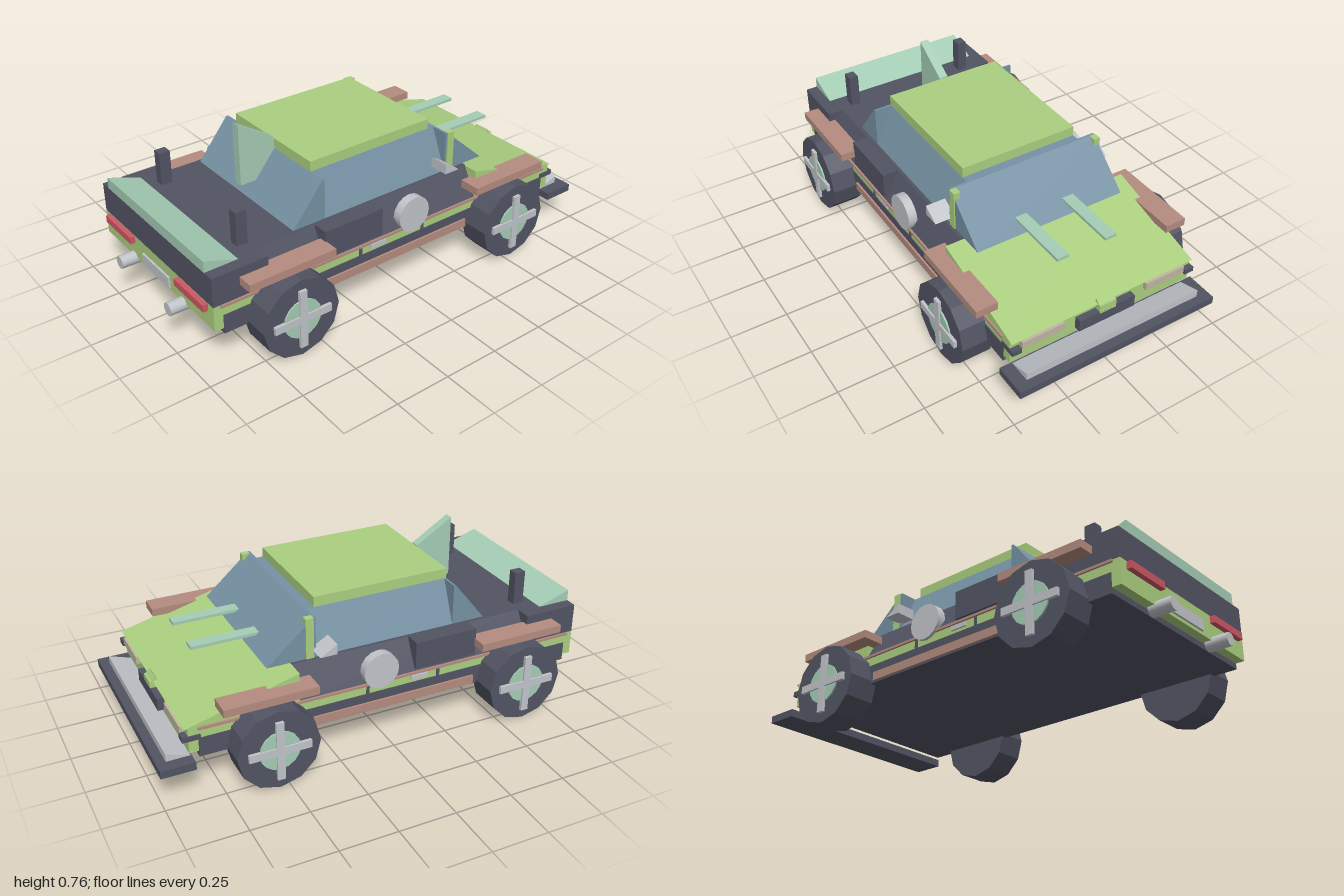
import * as THREE from 'three';

const mat = (name, color) => {
  const m = new THREE.MeshStandardMaterial({ color });
  m.name = name;
  return m;
};

export function createModel() {
  const car = new THREE.Group();
  car.name = 'car';
  const green = mat('green paint', 0xabd080);
  const dark = mat('dark grey', 0x525463);
  const copper = mat('copper', 0xb58c7f);
  const glass = mat('blue glass', 0x7692a4);
  const mint = mat('mint', 0xa5cdb5);
  const grey = mat('light grey', 0xc1c4c9);
  const red = mat('red', 0xcc5964);
  const lamp = mat('lamp beige', 0xc2b5a2);

  const add = (name, geo, material) => {
    const mesh = new THREE.Mesh(geo, material);
    mesh.name = name;
    car.add(mesh);
    return mesh;
  };
  // Box from its limits on each axis
  const box = (name, m, x0, x1, y0, y1, z0, z1) =>
    add(name, new THREE.BoxGeometry(x1 - x0, y1 - y0, z1 - z0)
      .translate((x0 + x1) / 2, (y0 + y1) / 2, (z0 + z1) / 2), m);
  // The same box on both sides of the car
  const pair = (name, m, x0, x1, ...rest) => {
    box(name + 'Left', m, x0, x1, ...rest);
    box(name + 'Right', m, -x1, -x0, ...rest);
  };
  const extrude = (pts, depth) => new THREE.ExtrudeGeometry(
    new THREE.Shape(pts.map(p => new THREE.Vector2(...p))), { depth, bevelEnabled: false });
  // Side profile of [z, y] points, extruded across x
  const sideProfile = (name, m, pts, x0, x1) =>
    add(name, extrude(pts.map(([z, y]) => [-z, y]), x1 - x0).rotateY(Math.PI / 2).translate(x0, 0, 0), m);
  // Cross-section of [x, y] points, extruded along z
  const crossSection = (name, m, pts, z0, z1) =>
    add(name, extrude(pts, z1 - z0).translate(0, 0, z0), m);

  // Lower body
  box('chassis', dark, -0.443, 0.443, 0.165, 0.25, -0.83, 0.89);
  box('body', green, -0.44, 0.44, 0.19, 0.3, -0.87, 0.93);
  sideProfile('hood', green, [[-0.4, 0.3], [-0.4, 0.425], [-0.885, 0.3]], -0.44, 0.44);
  crossSection('shoulders', dark, [[-0.44, 0.3], [0.44, 0.3], [0.37, 0.43], [-0.37, 0.43]], -0.4, 0.68);
  box('rearDeck', dark, -0.44, 0.44, 0.3, 0.43, 0.68, 0.93);

  // Cabin
  crossSection('sideWindows', glass, [[-0.355, 0.43], [0.355, 0.43], [0.275, 0.61], [-0.275, 0.61]], -0.3, 0.36);
  sideProfile('rearWindow', glass, [[0.35, 0.43], [0.35, 0.61], [0.36, 0.61], [0.505, 0.43]], -0.355, 0.355);
  sideProfile('windshield', glass, [[-0.29, 0.43], [-0.29, 0.61], [-0.3, 0.61], [-0.505, 0.43]], -0.355, 0.355);
  box('roof', green, -0.273, 0.273, 0.61, 0.655, -0.26, 0.36);
  pair('windowPillar', green, 0.33, 0.36, 0.43, 0.61, -0.335, -0.3);
  for (const s of [-1, 1]) {
    const x0 = s > 0 ? 0.34 : -0.43;
    sideProfile('mirror', grey, [[-0.23, 0.51], [-0.23, 0.465], [-0.305, 0.465]], x0, x0 + 0.09);
  }

  // Fins, posts and spoiler
  sideProfile('roofFin', mint,
    [[0.53, 0.765], [0.36, 0.66], [0.36, 0.61], [0.455, 0.49], [0.53, 0.49]], -0.02, 0.02);
  sideProfile('spoiler', mint, [[0.93, 0.43], [0.93, 0.48], [0.78, 0.43]], -0.388, 0.388);
  pair('rearPost', dark, 0.272, 0.315, 0.43, 0.58, 0.69, 0.74);
  pair('hoodBar', mint, 0.088, 0.143, 0.465, 0.478, -0.745, -0.45);

  // Side details
  pair('rearFender', copper, 0.412, 0.51, 0.355, 0.39, 0.41, 0.81);
  pair('frontFender', copper, 0.412, 0.51, 0.355, 0.39, -0.745, -0.345);
  pair('sideSill', copper, 0.43, 0.452, 0.172, 0.21, -0.345, 0.41);
  pair('sideTrim', copper, 0.43, 0.449, 0.289, 0.3, -0.83, 0.9);
  pair('sideIntake', dark, 0.375, 0.445, 0.31, 0.435, 0.125, 0.415);
  pair('doorGapRear', dark, 0.438, 0.444, 0.25, 0.29, 0.228, 0.242);
  pair('doorGapFront', dark, 0.438, 0.444, 0.25, 0.29, -0.104, -0.09);
  pair('doorHandle', grey, 0.438, 0.448, 0.264, 0.284, 0.105, 0.185);
  for (const s of [-1, 1]) {
    const disc = add('sideDisc', new THREE.CylinderGeometry(0.08, 0.08, 0.04, 16).rotateZ(Math.PI / 2), grey);
    disc.position.set(s * 0.435, 0.35, -0.04);
  }

  // Rear lights, plate and exhausts
  pair('tailLight', red, 0.18, 0.4, 0.265, 0.297, 0.92, 0.952);
  box('rearPlate', grey, -0.108, 0.108, 0.203, 0.254, 0.931, 0.94);
  for (const s of [-1, 1]) {
    const pipe = add('exhaust', new THREE.CylinderGeometry(0.029, 0.029, 0.1, 12).rotateX(Math.PI / 2), grey);
    pipe.position.set(s * 0.202, 0.184, 0.95);
  }

  // Nose and front bumper
  box('bumper', dark, -0.475, 0.475, 0.132, 0.166, -1, -0.855);
  sideProfile('bumperLip', grey, [[-0.86, 0.166], [-0.96, 0.166], [-0.96, 0.2]], -0.42, 0.42);
  box('grille', dark, -0.135, 0.135, 0.215, 0.27, -0.9, -0.86);
  box('noseBadge', green, -0.04, 0.04, 0.26, 0.3, -0.9, -0.86);
  sideProfile('noseWedge', green, [[-0.86, 0.295], [-0.895, 0.295], [-0.875, 0.32]], -0.04, 0.04);
  pair('headlight', lamp, 0.2, 0.395, 0.255, 0.29, -0.89, -0.86);
  pair('cornerLight', dark, 0.4, 0.444, 0.245, 0.268, -0.895, -0.82);

  // Wheels with hub and cross spokes
  for (const z of [0.61, -0.54]) for (const s of [-1, 1]) {
    const wheel = new THREE.Group();
    wheel.name = (z > 0 ? 'rear' : 'front') + 'Wheel' + (s > 0 ? 'Left' : 'Right');
    const part = (name, geo, m, x) => {
      const mesh = new THREE.Mesh(geo, m);
      mesh.name = name;
      mesh.position.x = s * x;
      wheel.add(mesh);
    };
    const drum = (r, w, n) => new THREE.CylinderGeometry(r, r, w, n).toNonIndexed().rotateZ(Math.PI / 2);
    const tyre = drum(0.177, 0.14, 12);
    tyre.computeVertexNormals();
    part('tyre', tyre, dark, 0.485);
    part('hub', drum(0.087, 0.05, 16), mint, 0.537);
    part('spokeVertical', new THREE.BoxGeometry(0.02, 0.265, 0.034), grey, 0.559);
    part('spokeHorizontal', new THREE.BoxGeometry(0.02, 0.034, 0.265), grey, 0.559);
    wheel.position.set(0, 0.177, z);
    car.add(wheel);
  }
  return car;
}
